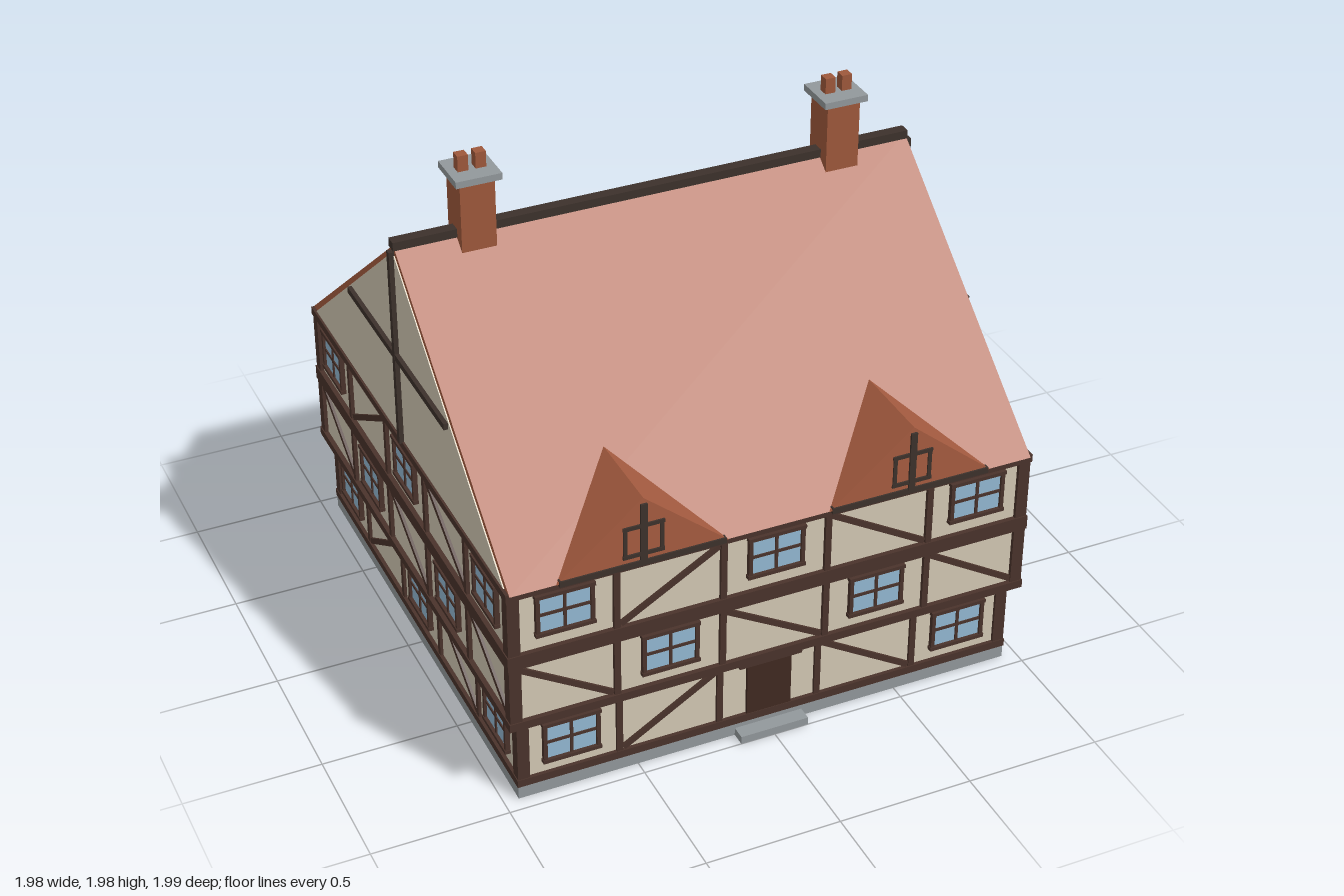
import * as THREE from 'three';

const mat = (name, color) => {
  const m = new THREE.MeshStandardMaterial({ color });
  m.name = name;
  return m;
};

export function createModel() {
  const house = new THREE.Group();
  house.name = 'timberFramedHouse';

  const plaster = mat('cream plaster', 0xd2c8b3);
  const timber = mat('dark brown timber', 0x4a332b);
  const ridgeWood = mat('charcoal ridge wood', 0x3c312b);
  const tile = mat('terracotta tile', 0xa65c40);
  const brick = mat('chimney brick', 0x9e583b);
  const stone = mat('grey stone', 0x92989b);
  const glass = mat('pale blue glass', 0x93b8d2);
  const doorWood = mat('door wood', 0x402921);

  const add = (parent, name, geometry, material) => {
    const m = new THREE.Mesh(geometry, material);
    m.name = name;
    parent.add(m);
    return m;
  };
  const box = (parent, name, material, w, h, d, x, y, z) => {
    const m = add(parent, name, new THREE.BoxGeometry(w, h, d), material);
    m.position.set(x, y, z);
    return m;
  };
  // Horizontal slab covering the whole plan, given by half width and height range
  const slab = (name, material, half, y0, y1) =>
    box(house, name, material, half * 2, y1 - y0, half * 2, 0, (y0 + y1) / 2, 0);
  // Polygon in x/y extruded along z, centred on z = 0
  const prism = (points, depth) => {
    const shape = new THREE.Shape(points.map(p => new THREE.Vector2(p[0], p[1])));
    const g = new THREE.ExtrudeGeometry(shape, { depth, bevelEnabled: false });
    return g.translate(0, 0, -depth / 2);
  };

  // Foundation, step and solid storeys
  slab('foundation', stone, 0.946, 0, 0.05);
  box(house, 'doorStep', stone, 0.26, 0.03, 0.1, 0, 0.015, 0.95);
  slab('groundWalls', plaster, 0.935, 0.05, 0.33);
  slab('upperWalls', plaster, 0.965, 0.34, 0.89);

  // Horizontal beams running round the house
  slab('sillBeam', timber, 0.949, 0.05, 0.08);
  slab('groundPlate', timber, 0.955, 0.31, 0.33);
  slab('jettyBeam', timber, 0.983, 0.328, 0.36);
  slab('middleBeam', timber, 0.983, 0.585, 0.64);
  slab('eavesBeam', timber, 0.983, 0.87, 0.9);

  // Storeys: W window, D door, / and \ braces, one letter for each bay
  const storeys = [
    { half: 0.946, wall: 0.935, y0: 0.08, y1: 0.31, winY: 0.21, bays: 'W/W\\W', frontBays: 'W/D\\W' },
    { half: 0.979, wall: 0.965, y0: 0.36, y1: 0.585, winY: 0.492, bays: '\\W\\W\\' },
    { half: 0.979, wall: 0.965, y0: 0.64, y1: 0.87, winY: 0.778, bays: 'W/W\\W' },
  ];

  const addWindow = (side, x, y, wall) => {
    const w = new THREE.Group();
    w.name = 'window';
    w.position.set(x, y, wall);
    side.add(w);
    box(w, 'glass', glass, 0.19, 0.15, 0.008, 0, 0, 0.004);
    for (const s of [-1, 1]) {
      box(w, 'frameUpright', timber, 0.014, 0.164, 0.022, s * 0.098, 0, 0.007);
      box(w, 'frameRail', timber, 0.216, 0.014, 0.026, 0, s * 0.077, 0.008);
    }
    box(w, 'mullion', timber, 0.011, 0.15, 0.014, 0, 0, 0.006);
    box(w, 'transom', timber, 0.19, 0.011, 0.014, 0, 0, 0.0055);
  };

  // Timber framing on all four sides
  ['front', 'right', 'back', 'left'].forEach((label, i) => {
    const side = new THREE.Group();
    side.name = label + 'Framing';
    side.rotation.y = i * Math.PI / 2;
    house.add(side);
    for (const s of storeys) {
      const h = s.y1 - s.y0, cy = (s.y0 + s.y1) / 2, bay = s.half * 0.4;
      for (const k of [-1.5, -0.5, 0.5, 1.5])
        box(side, 'post', timber, 0.023, h, 0.02, k * bay, cy, s.half - 0.01);
      box(side, 'cornerPost', timber, 0.044, h, 0.044, s.half - 0.022, cy, s.half - 0.022);
      // Second face of the neighbouring corner
      box(side, 'cornerPost', timber, 0.044, h, 0.02, 0.022 - s.half, cy, s.half - 0.0101);
      const bays = i === 0 && s.frontBays ? s.frontBays : s.bays;
      [...bays].forEach((type, b) => {
        const inset = b === 0 ? 0.01 : b === 4 ? -0.01 : 0;
        const x = (b - 2) * bay + inset;
        if (type === 'W') {
          addWindow(side, x, s.winY, s.wall);
        } else if (type === 'D') {
          box(side, 'door', doorWood, 0.17, 0.22, 0.016, 0, 0.19, s.wall + 0.004);
          box(side, 'doorLintel', timber, 0.24, 0.018, 0.03, 0, 0.303, s.wall + 0.008);
        } else {
          const w = bay - 0.03 - Math.abs(inset) * 2, rise = h - 0.018;
          const brace = box(side, 'brace', timber, Math.hypot(w, rise), 0.022, 0.016, x, cy, s.wall + 0.002);
          brace.rotation.z = Math.atan2(rise, w) * (type === '/' ? 1 : -1);
        }
      });
    }
  });

  // Gable walls and roof, drawn across z and extruded along x
  const gable = add(house, 'gableWalls', prism([[-0.957, 0.89], [0.957, 0.89], [0, 1.66]], 1.95), plaster);
  gable.rotation.y = Math.PI / 2;
  const roof = add(house, 'roof', prism(
    [[0.99, 0.895], [0, 1.685], [-0.99, 0.895], [-0.96, 0.89], [0, 1.658], [0.96, 0.89]], 1.942), tile);
  roof.rotation.y = Math.PI / 2;
  box(house, 'ridgeBeam', ridgeWood, 1.95, 0.032, 0.042, -0.004, 1.69, 0);

  for (const s of [-1, 1]) {
    // Gable timbers
    box(house, 'gablePost', ridgeWood, 0.02, 0.77, 0.024, s * 0.982, 1.28, 0);
    box(house, 'gableCrossbar', ridgeWood, 0.018, 0.024, 0.964, s * 0.982, 1.252, 0);

    // Chimneys
    const chimney = new THREE.Group();
    chimney.name = 'chimney';
    chimney.position.x = s * 0.686;
    house.add(chimney);
    box(chimney, 'stack', brick, 0.126, 0.36, 0.126, 0, 1.72, 0);
    box(chimney, 'cap', stone, 0.166, 0.025, 0.166, 0, 1.907, 0);
    for (const k of [-1, 1])
      box(chimney, 'pot', brick, 0.038, 0.06, 0.038, k * 0.032, 1.948, 0);

    // Dormers
    const dormer = new THREE.Group();
    dormer.name = 'dormer';
    dormer.position.x = s * 0.498;
    house.add(dormer);
    const body = add(dormer, 'dormerRoof', prism([[-0.31, 0.895], [0.31, 0.895], [0, 1.153]], 0.44), tile);
    body.position.z = 0.772;
    box(dormer, 'dormerBeam', ridgeWood, 0.6, 0.022, 0.02, 0, 0.897, 0.988);
    box(dormer, 'dormerPost', ridgeWood, 0.024, 0.23, 0.016, 0, 1.017, 0.992);
    for (const k of [-1, 1]) {
      box(dormer, 'dormerFrameUpright', ridgeWood, 0.014, 0.125, 0.014, k * 0.066, 0.99, 0.99);
      box(dormer, 'dormerFrameRail', ridgeWood, 0.15, 0.014, 0.015, 0, 0.99 + k * 0.056, 0.991);
    }
  }

  return house;
}
